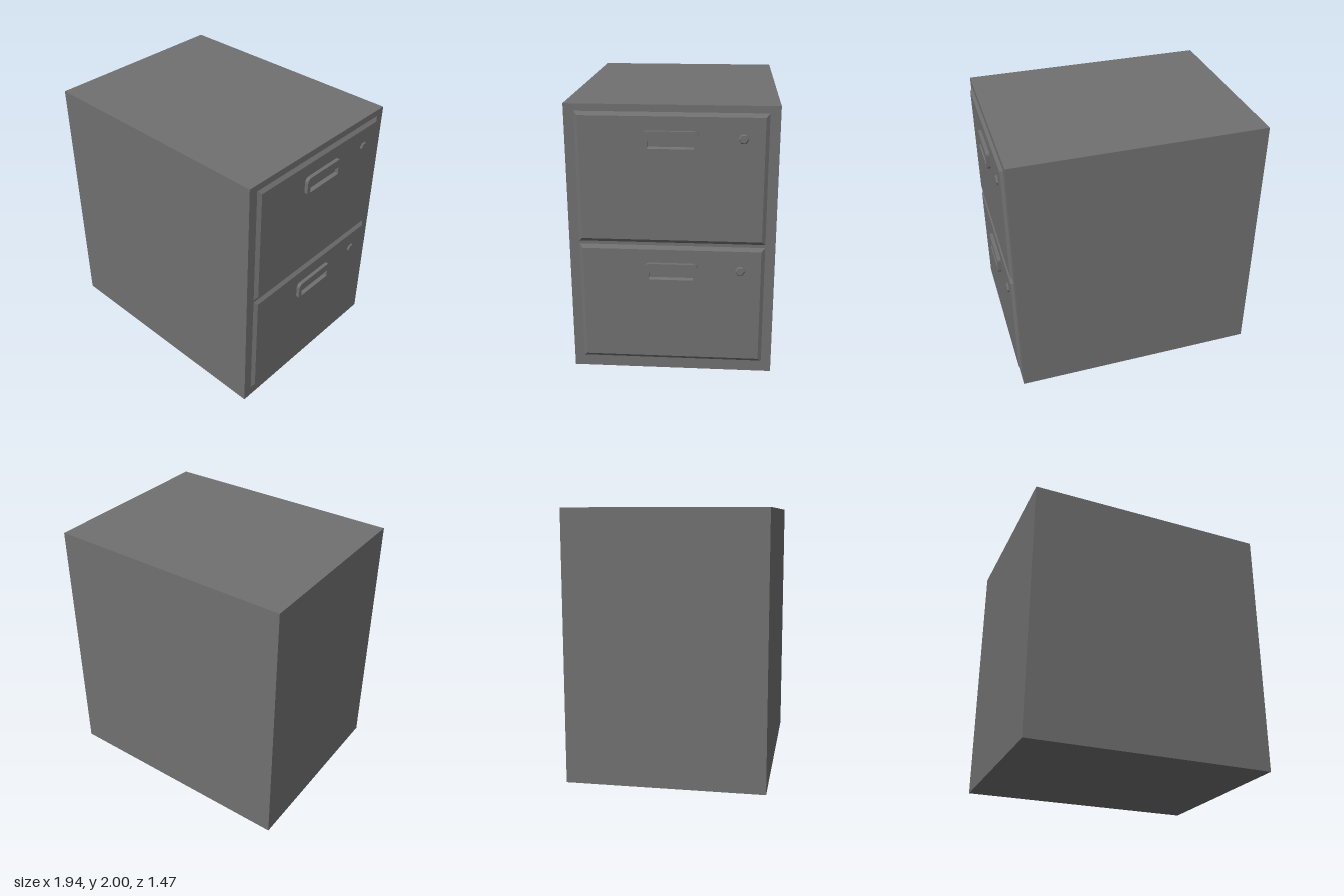
import * as THREE from 'three';

const material = new THREE.MeshStandardMaterial({ color: 0x707070, flatShading: true });
const CABINET_X = 0.924;
const FACE_X = 0.944;

function addMesh(parent, name, geometry, x, y, z) {
  const mesh = new THREE.Mesh(geometry, material);
  mesh.name = name;
  mesh.position.set(x, y, z);
  parent.add(mesh);
  return mesh;
}

// Panel whose +x face is inset on every edge
function bevelledPanel(depth, height, width, inset) {
  const geometry = new THREE.BoxGeometry(depth, height, width);
  const p = geometry.attributes.position;
  for (let i = 0; i < p.count; i++) {
    if (p.getX(i) > 0) {
      p.setY(i, p.getY(i) - Math.sign(p.getY(i)) * inset);
      p.setZ(i, p.getZ(i) - Math.sign(p.getZ(i)) * inset);
    }
  }
  geometry.computeVertexNormals();
  return geometry;
}

// Rounded plate with a rectangular finger slot, facing +x
function handlePlate(width, height, depth, radius) {
  const w = width / 2, h = height / 2, r = radius;
  const shape = new THREE.Shape();
  shape.moveTo(-w + r, -h);
  shape.lineTo(w - r, -h).absarc(w - r, -h + r, r, -Math.PI / 2, 0);
  shape.lineTo(w, h - r).absarc(w - r, h - r, r, 0, Math.PI / 2);
  shape.lineTo(-w + r, h).absarc(-w + r, h - r, r, Math.PI / 2, Math.PI);
  shape.lineTo(-w, -h + r).absarc(-w + r, -h + r, r, Math.PI, Math.PI * 1.5);
  const slot = new THREE.Path();
  slot.moveTo(-0.158, -0.048);
  slot.lineTo(-0.158, 0.008).lineTo(0.158, 0.008).lineTo(0.158, -0.048).closePath();
  shape.holes.push(slot);
  return new THREE.ExtrudeGeometry(shape, { depth, bevelEnabled: false, curveSegments: 3 })
    .rotateY(Math.PI / 2);
}

// Sloped floor along the bottom of the finger slot
function slotFloor() {
  const shape = new THREE.Shape();
  shape.moveTo(0, 0).lineTo(0.026, 0).lineTo(0, 0.009).closePath();
  return new THREE.ExtrudeGeometry(shape, { depth: 0.316, bevelEnabled: false })
    .translate(0, 0, -0.158);
}

function createDrawer(name, bottom, top, handleY, lockY) {
  const drawer = new THREE.Group();
  drawer.name = name;
  const depth = FACE_X - CABINET_X;
  addMesh(drawer, 'drawerFront', bevelledPanel(depth, top - bottom, 1.325, 0.026),
    CABINET_X + depth / 2, (bottom + top) / 2, 0);
  addMesh(drawer, 'handle', handlePlate(0.376, 0.145, 0.027, 0.032), FACE_X, handleY, 0.001);
  addMesh(drawer, 'handleSlotFloor', slotFloor(), FACE_X, handleY - 0.048, 0.001);

  // Hexagonal lock with a chamfered rim
  const base = new THREE.CylinderGeometry(0.037, 0.037, 0.006, 6).rotateZ(-Math.PI / 2);
  const cap = new THREE.CylinderGeometry(0.028, 0.037, 0.007, 6).rotateZ(-Math.PI / 2);
  addMesh(drawer, 'lockBase', base, FACE_X + 0.003, lockY, -0.49);
  addMesh(drawer, 'lockCap', cap, FACE_X + 0.0095, lockY, -0.49);
  return drawer;
}

export function createModel() {
  const model = new THREE.Group();
  model.name = 'filingCabinet';
  addMesh(model, 'cabinetBody', new THREE.BoxGeometry(1.895, 2, 1.468), -0.0235, 1, 0);
  model.add(createDrawer('upperDrawer', 1.011, 1.95, 1.754, 1.777));
  model.add(createDrawer('lowerDrawer', 0.085, 0.988, 0.79, 0.815));
  return model;
}
